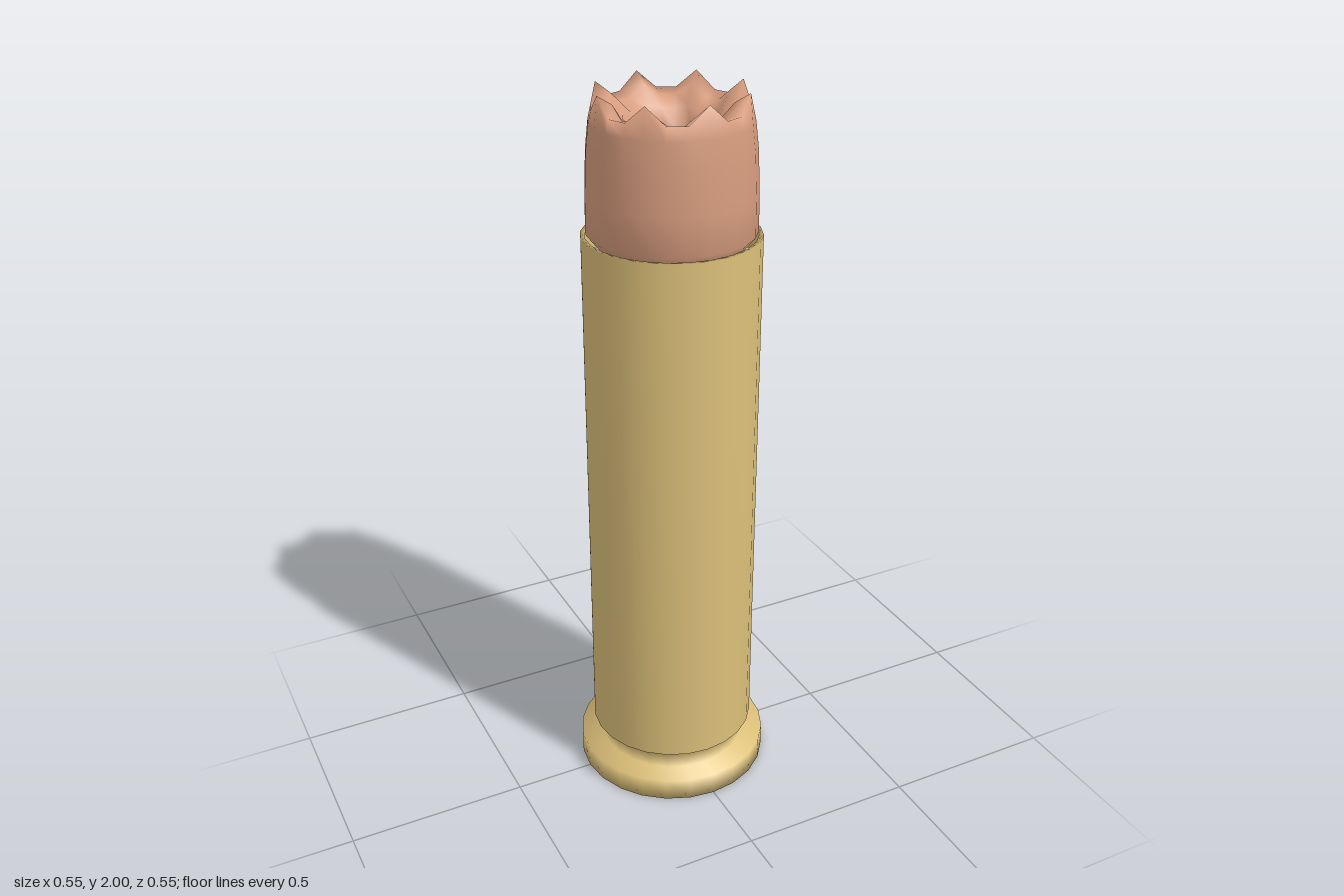
import * as THREE from 'three';
import { mergeVertices } from 'three/addons/utils/BufferGeometryUtils.js';

const SIDES = 24;
const profile = (list) => list.map(([r, y]) => new THREE.Vector2(r, y));

function named(geometry, material, name) {
  const mesh = new THREE.Mesh(geometry, material);
  mesh.name = name;
  return mesh;
}

// Rimmed case: flat base, rim, extractor groove, straight wall and thin mouth
function makeCase() {
  return new THREE.LatheGeometry(profile([
    [0, 0], [0.274, 0], [0.274, 0.065], [0.21, 0.065], [0.21, 0.11],
    [0.235, 0.13], [0.235, 1.63], [0.223, 1.63], [0.218, 1.56],
  ]), SIDES);
}

// Hollow tip: every third column of the rim rises into a tooth
function makeTip() {
  const rings = [
    [0.19, 1.6], [0.222, 1.64], [0.221, 1.74], [0.216, 1.85], [0.208, 1.92],
    [0.2, 1.955], [0.16, 1.945], [0.12, 1.92], [0.086, 1.88],
    [0.08, 1.8], [0.05, 1.74], [0, 1.72],
  ];
  // ring index -> [tooth radius, tooth height]
  const teeth = { 5: [0.2, 2], 6: [0.16, 1.975], 7: [0.13, 1.925], 8: [0.111, 1.885] };
  const lathe = new THREE.LatheGeometry(profile(rings), SIDES);
  const pos = lathe.attributes.position;
  for (let i = 0; i < pos.count; i++) {
    const column = Math.floor(i / rings.length);
    const tooth = teeth[i % rings.length];
    if (!tooth || column % 3 !== 0) continue;
    const angle = (column / SIDES) * Math.PI * 2;
    pos.setXYZ(i, Math.sin(angle) * tooth[0], tooth[1], Math.cos(angle) * tooth[0]);
  }
  // weld the seam so the shading stays smooth all round
  lathe.deleteAttribute('normal');
  lathe.deleteAttribute('uv');
  const welded = mergeVertices(lathe, 1e-4);
  welded.computeVertexNormals();
  return welded;
}

export function createModel() {
  const brass = new THREE.MeshStandardMaterial({ color: 0xdcc07a });
  brass.name = 'brass';
  const copper = new THREE.MeshStandardMaterial({ color: 0xd69c7e });
  copper.name = 'copper';

  const model = new THREE.Group();
  model.name = 'cartridge';
  model.add(named(makeCase(), brass, 'case'));
  model.add(named(makeTip(), copper, 'hollowTip'));
  return model;
}
